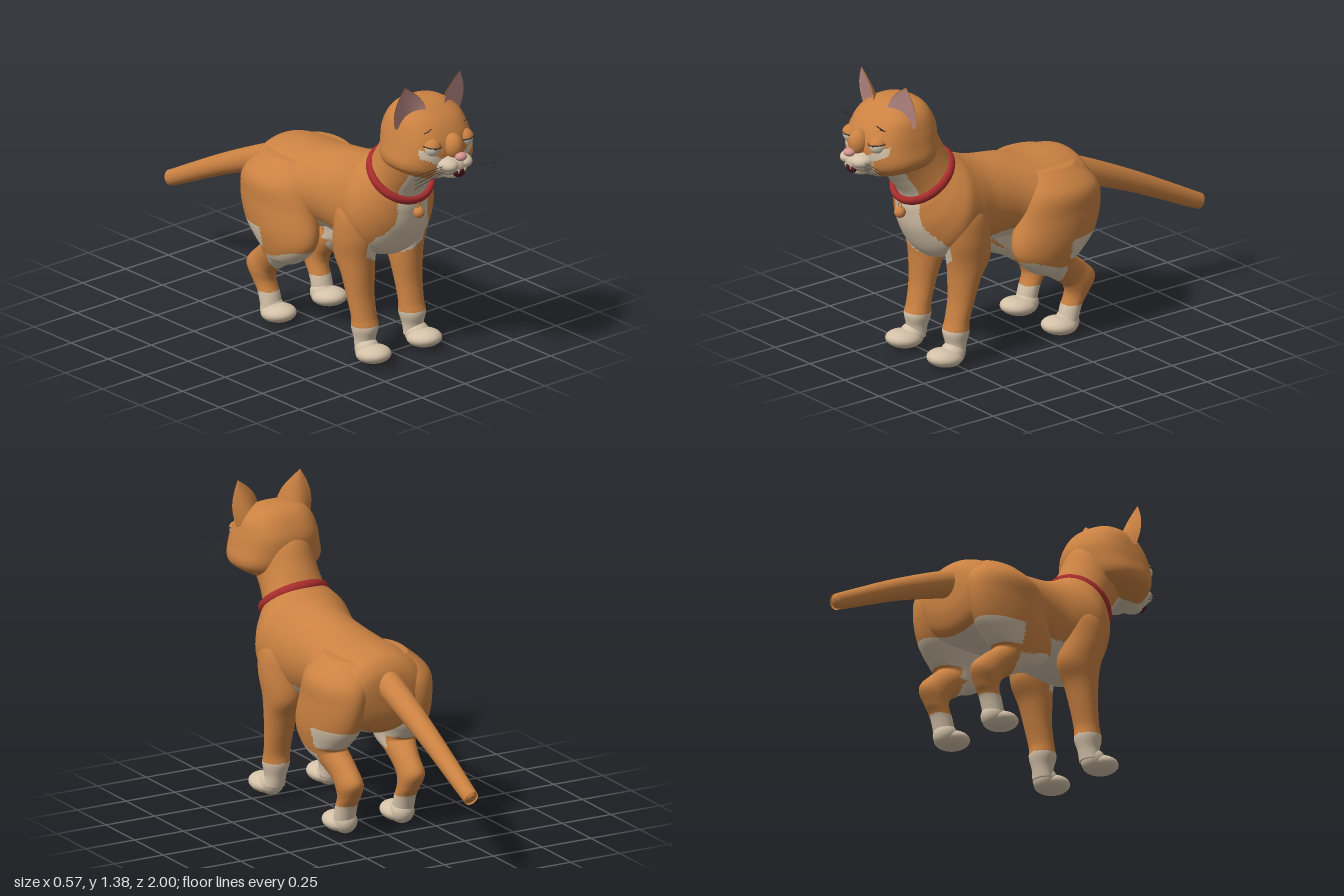
import * as THREE from 'three';

const mat = (name, color, side = THREE.FrontSide) => {
  const m = new THREE.MeshStandardMaterial({ color, side });
  m.name = name;
  return m;
};
const orange = mat('orange fur', 0xcb8242);
const cream = mat('cream fur', 0xd3c1a8);
const red = mat('red collar', 0xa82c2c);
const earPink = mat('ear pink', 0xbd8c88, THREE.DoubleSide);
const earOrange = mat('ear orange', 0xcb8242, THREE.DoubleSide);
const nosePink = mat('nose pink', 0xd4948e);
const mouthDark = mat('mouth dark', 0x4a1620);
const dark = mat('dark line', 0x3f362f);
const eyeWhite = mat('eye white', 0xcfc3b0);

const { smoothstep, lerp } = THREE.MathUtils;

function catmull(a, b, c, d, t) {
  const m0 = (c - a) / 2, m1 = (d - b) / 2, t2 = t * t, t3 = t2 * t;
  return (2 * t3 - 3 * t2 + 1) * b + (t3 - 2 * t2 + t) * m0 + (3 * t2 - 2 * t3) * c + (t3 - t2) * m1;
}

// Smooth skin through oval sections [z1, y1, z2, y2, xCentre, halfWidth];
// points 1 and 2 are the two ends of the oval in the side silhouette.
// isCream(point, normal) picks the fur colour of each face.
function loft(name, sections, isCream, { steps = 8, sides = 64, power = 1 } = {}) {
  const pos = [], rows = (sections.length - 1) * steps;
  const bend = (v) => Math.sign(v) * Math.abs(v) ** power;
  const at = (i) => sections[Math.min(Math.max(i, 0), sections.length - 1)];
  for (let r = 0; r <= rows; r++) {
    const i = Math.min(Math.floor(r / steps), sections.length - 2), t = r / steps - i;
    const [z1, y1, z2, y2, x, w] = sections[0].map((_, k) =>
      catmull(at(i - 1)[k], at(i)[k], at(i + 1)[k], at(i + 2)[k], t));
    for (let j = 0; j < sides; j++) {
      const a = (j / sides) * Math.PI * 2, c = bend(Math.cos(a)), s = bend(Math.sin(a));
      pos.push(x + w * c, (y1 + y2) / 2 + (s * (y1 - y2)) / 2, (z1 + z2) / 2 + (s * (z1 - z2)) / 2);
    }
  }
  for (const s of [sections[0], at(sections.length)]) pos.push(s[4], (s[1] + s[3]) / 2, (s[0] + s[2]) / 2);

  const lists = [[], []], tri = new THREE.Triangle(), p = new THREE.Vector3(), n = new THREE.Vector3();
  const face = (...ids) => {
    [tri.a, tri.b, tri.c].forEach((v, k) => v.fromArray(pos, ids[k] * 3));
    tri.getMidpoint(p);
    tri.getNormal(n);
    lists[isCream && isCream(p, n) ? 1 : 0].push(...ids);
  };
  const first = (rows + 1) * sides;
  for (let j = 0; j < sides; j++) {
    const k = (j + 1) % sides;
    for (let r = 0; r < rows; r++) {
      const o = r * sides, q = o + sides;
      face(o + j, o + k, q + k);
      face(o + j, q + k, q + j);
    }
    face(first, k, j);
    face(first + 1, rows * sides + j, rows * sides + k);
  }
  const g = new THREE.BufferGeometry();
  g.setAttribute('position', new THREE.Float32BufferAttribute(pos, 3));
  g.setIndex([...lists[0], ...lists[1]]);
  g.addGroup(0, lists[0].length, 0);
  g.addGroup(lists[0].length, lists[1].length, 1);
  g.computeVertexNormals();
  const mesh = new THREE.Mesh(g, [orange, cream]);
  mesh.name = name;
  return mesh;
}

function add(parent, name, geometry, material, x = 0, y = 0, z = 0) {
  const m = new THREE.Mesh(geometry, material);
  m.name = name;
  m.position.set(x, y, z);
  parent.add(m);
  return m;
}
const ball = (parent, name, material, [x, y, z], [rx, ry, rz]) =>
  add(parent, name, new THREE.SphereGeometry(1, 32, 20).scale(rx, ry, rz), material, x, y, z);

function hair(parent, name, from, to, radius) {
  const a = new THREE.Vector3(...from), b = new THREE.Vector3(...to);
  add(parent, name, new THREE.TubeGeometry(new THREE.LineCurve3(a, b), 1, radius, 5), dark);
}

// Bib that widens over the chest
function onBib(p, n) {
  const x = Math.abs(p.x), half = 0.088 + 0.08 * (1 - smoothstep(p.y, 0.57, 0.7));
  return p.z > 0.45 && n.z > 0.1 && x < half && p.y > 0.44 + 0.07 * (x / 0.165) ** 2;
}

// Curved ear sheet; depth is how far its middle bows backward
function earSheet(s, depth, inset) {
  const g = new THREE.PlaneGeometry(1, 1, 12, 12), p = g.attributes.position;
  const inner = [0.05 + inset, 1.24, 0.8], outer = [0.187 - inset, 1.185, 0.745], tip = [0.16, 1.39 - inset, 0.78];
  for (let i = 0; i < p.count; i++) {
    const u = p.getX(i) + 0.5, t = p.getY(i) + 0.5, k = t ** 1.2;
    const q = inner.map((v, c) => lerp(lerp(v, outer[c], u), tip[c], c === 1 ? t : k));
    const bow = Math.sin(Math.PI * u) * (1 - t);
    const side = 0.05 * (u - 0.5) * Math.sin(Math.PI * t);
    p.setXYZ(i, s * (q[0] + side - 0.2 * depth * bow), q[1], q[2] - depth * bow);
  }
  if (s < 0) {
    const ix = g.index.array;
    for (let i = 0; i < ix.length; i += 3) [ix[i], ix[i + 1]] = [ix[i + 1], ix[i]];
  }
  g.computeVertexNormals();
  return g;
}

export function createModel() {
  const cat = new THREE.Group();
  cat.name = 'cat';

  // Torso and neck, rump to throat
  cat.add(loft('torso', [
    [-0.285, 0.72, -0.285, 0.66, 0, 0.05], [-0.27, 0.78, -0.275, 0.56, 0, 0.15],
    [-0.22, 0.83, -0.23, 0.48, 0, 0.21], [-0.12, 0.85, -0.12, 0.46, 0, 0.235],
    [0.02, 0.855, 0.02, 0.47, 0, 0.23], [0.15, 0.88, 0.16, 0.5, 0, 0.19],
    [0.28, 0.9, 0.28, 0.485, 0, 0.188], [0.36, 0.925, 0.42, 0.47, 0, 0.215],
    [0.41, 0.95, 0.56, 0.5, 0, 0.232], [0.435, 0.965, 0.64, 0.62, 0, 0.2],
    [0.45, 0.975, 0.665, 0.73, 0, 0.165], [0.46, 0.985, 0.67, 0.8, 0, 0.145],
    [0.5, 1.06, 0.72, 0.87, 0, 0.132], [0.54, 1.14, 0.78, 0.94, 0, 0.13],
    [0.6, 1.2, 0.82, 1.0, 0, 0.13],
  ], (p, n) => onBib(p, n) || (p.y < 0.57 && p.z > -0.22 && p.z < 0.48 && n.y < 0), { sides: 96 }));

  // Tail, tip to root
  cat.add(loft('tail', [
    [-0.999, 0.393, -0.99, 0.372, 0, 0.01], [-0.99, 0.415, -0.965, 0.353, 0, 0.03],
    [-0.965, 0.43, -0.935, 0.36, 0, 0.036], [-0.62, 0.612, -0.58, 0.522, 0, 0.048],
    [-0.292, 0.763, -0.248, 0.647, 0, 0.06], [-0.17, 0.79, -0.13, 0.69, 0, 0.06],
  ], null, { sides: 32 }));

  // Head, crown to jaw, with cream jaw and cheek marks
  cat.add(loft('head', [
    [0.71, 1.29, 0.675, 1.29, 0, 0.02], [0.765, 1.282, 0.64, 1.28, 0, 0.08],
    [0.815, 1.26, 0.605, 1.26, 0, 0.125], [0.87, 1.22, 0.575, 1.22, 0, 0.16],
    [0.91, 1.16, 0.55, 1.16, 0, 0.18], [0.925, 1.1, 0.55, 1.1, 0, 0.193],
    [0.92, 1.04, 0.56, 1.04, 0, 0.204], [0.91, 1.0, 0.58, 1.0, 0, 0.185],
    [0.89, 0.965, 0.62, 0.965, 0, 0.125], [0.86, 0.95, 0.66, 0.95, 0, 0.07],
  ], (p) => {
    const x = Math.abs(p.x);
    const cheek = x > 0.06 && x < 0.155 && Math.abs(p.y - 1.06 - (x - 0.08) * 0.55) < 0.02;
    return p.z > 0.72 && ((x < 0.088 && p.y < 1.06) || cheek);
  }, { sides: 128, power: 0.82 }));

  // Face
  ball(cat, 'noseBridge', orange, [0, 1.115, 0.92], [0.045, 0.06, 0.05]);
  ball(cat, 'muzzle', cream, [0, 1.03, 0.9], [0.085, 0.055, 0.08]);
  ball(cat, 'chin', cream, [0, 0.992, 0.905], [0.05, 0.03, 0.055]);
  ball(cat, 'nose', nosePink, [0, 1.08, 0.974], [0.028, 0.019, 0.025]);
  ball(cat, 'mouth', mouthDark, [0, 1.006, 0.962], [0.035, 0.025, 0.02]);

  for (const s of [1, -1]) {
    const side = s > 0 ? 'left' : 'right';
    ball(cat, side + 'WhiskerPad', cream, [s * 0.04, 1.04, 0.93], [0.045, 0.032, 0.055]);
    add(cat, side + 'Fang', new THREE.ConeGeometry(0.006, 0.02, 8).rotateX(Math.PI), cream, s * 0.018, 1.012, 0.98);

    // Half-closed eye
    const eye = new THREE.Group();
    eye.name = side + 'Eye';
    eye.position.set(s * 0.095, 1.12, 0.887);
    eye.rotation.set(0, s * 0.25, s * 0.12);
    cat.add(eye);
    ball(eye, 'eyeball', eyeWhite, [0, 0, 0], [0.039, 0.039, 0.039]);
    ball(eye, 'pupil', dark, [0, 0.008, 0.032], [0.01, 0.01, 0.009]);
    add(eye, 'upperLid', new THREE.SphereGeometry(0.043, 32, 12, 0, Math.PI * 2, 0, Math.PI * 0.43), earOrange);
    add(eye, 'lashLine', new THREE.TorusGeometry(0.042, 0.003, 6, 32).rotateX(Math.PI / 2), dark, 0, 0.009, 0);

    // Ear
    add(cat, side + 'EarBack', earSheet(s, 0.055, 0), earOrange);
    add(cat, side + 'EarInside', earSheet(s, 0.012, 0.004), earPink, 0, 0, 0.003);

    // Whiskers and brow hairs
    for (let i = 0; i < 4; i++) {
      hair(cat, side + 'Whisker', [s * 0.07, 1.045 - i * 0.009, 0.945], [s * (0.27 - 0.01 * i), 1.055 - i * 0.026, 0.975 - i * 0.012], 0.0013);
    }
    for (let i = 0; i < 2; i++) {
      hair(cat, side + 'BrowHair', [s * (0.11 + i * 0.015), 1.19, 0.87], [s * (0.12 + i * 0.022), 1.225 - i * 0.01, 0.915], 0.002);
    }

    // Front leg
    cat.add(loft(side + 'FrontLeg', [
      [0.5, 0.78, 0.4, 0.78, s * 0.11, 0.04], [0.555, 0.72, 0.34, 0.72, s * 0.135, 0.09],
      [0.55, 0.6, 0.32, 0.6, s * 0.142, 0.097], [0.525, 0.49, 0.315, 0.49, s * 0.142, 0.085],
      [0.515, 0.4, 0.365, 0.4, s * 0.14, 0.076], [0.515, 0.3, 0.4, 0.3, s * 0.14, 0.066],
      [0.53, 0.21, 0.425, 0.21, s * 0.138, 0.061], [0.545, 0.16, 0.425, 0.155, s * 0.138, 0.062],
      [0.535, 0.11, 0.44, 0.1, s * 0.14, 0.05], [0.53, 0.06, 0.45, 0.05, s * 0.143, 0.05],
    ], (p, n) => p.y < 0.17 || onBib(p, n), { sides: 48 }));

    // Hind leg: thigh, shin, hock and foot
    cat.add(loft(side + 'HindLeg', [
      [0.06, 0.81, -0.18, 0.81, s * 0.12, 0.06], [0.12, 0.72, -0.27, 0.72, s * 0.15, 0.124],
      [0.155, 0.6, -0.285, 0.62, s * 0.165, 0.118], [0.185, 0.5, -0.25, 0.5, s * 0.172, 0.11],
      [0.17, 0.425, -0.18, 0.42, s * 0.178, 0.092], [0.09, 0.35, -0.14, 0.392, s * 0.175, 0.08],
      [0, 0.31, -0.155, 0.375, s * 0.168, 0.068], [-0.09, 0.25, -0.205, 0.335, s * 0.16, 0.057],
      [-0.115, 0.21, -0.268, 0.265, s * 0.157, 0.056], [-0.115, 0.175, -0.235, 0.19, s * 0.152, 0.05],
      [-0.1, 0.13, -0.2, 0.14, s * 0.15, 0.05], [-0.085, 0.07, -0.175, 0.06, s * 0.15, 0.05],
    ], (p, n) => {
      const under = n.y < -0.35 && p.z > -0.06 && p.y < 0.42;
      const buttock = p.z < -0.06 && p.y > 0.4 && p.y < 0.5;
      return p.y < 0.145 || under || buttock || (Math.abs(p.x) < 0.1 && p.y < 0.52 && p.y > 0.34);
    }, { sides: 64 }));

    // Paws
    for (const [name, z] of [['FrontPaw', 0.555], ['HindPaw', -0.085]]) {
      ball(cat, side + name, cream, [s * 0.148, 0.052, z], [0.076, 0.042, 0.085]).rotation.x = -0.12;
      ball(cat, side + name + 'Heel', cream, [s * 0.146, 0.06, z - 0.045], [0.056, 0.055, 0.055]);
    }
  }

  // Collar and bell
  const collar = add(cat, 'collar', new THREE.TorusGeometry(0.147, 0.016, 14, 64).scale(1.01, 1, 1.35), red, 0, 0.878, 0.565);
  collar.rotation.x = -0.893;
  ball(cat, 'bell', orange, [0, 0.727, 0.69], [0.026, 0.026, 0.026]);
  add(cat, 'bellRing', new THREE.TorusGeometry(0.011, 0.003, 8, 20), orange, 0, 0.76, 0.69);

  return cat;
}
